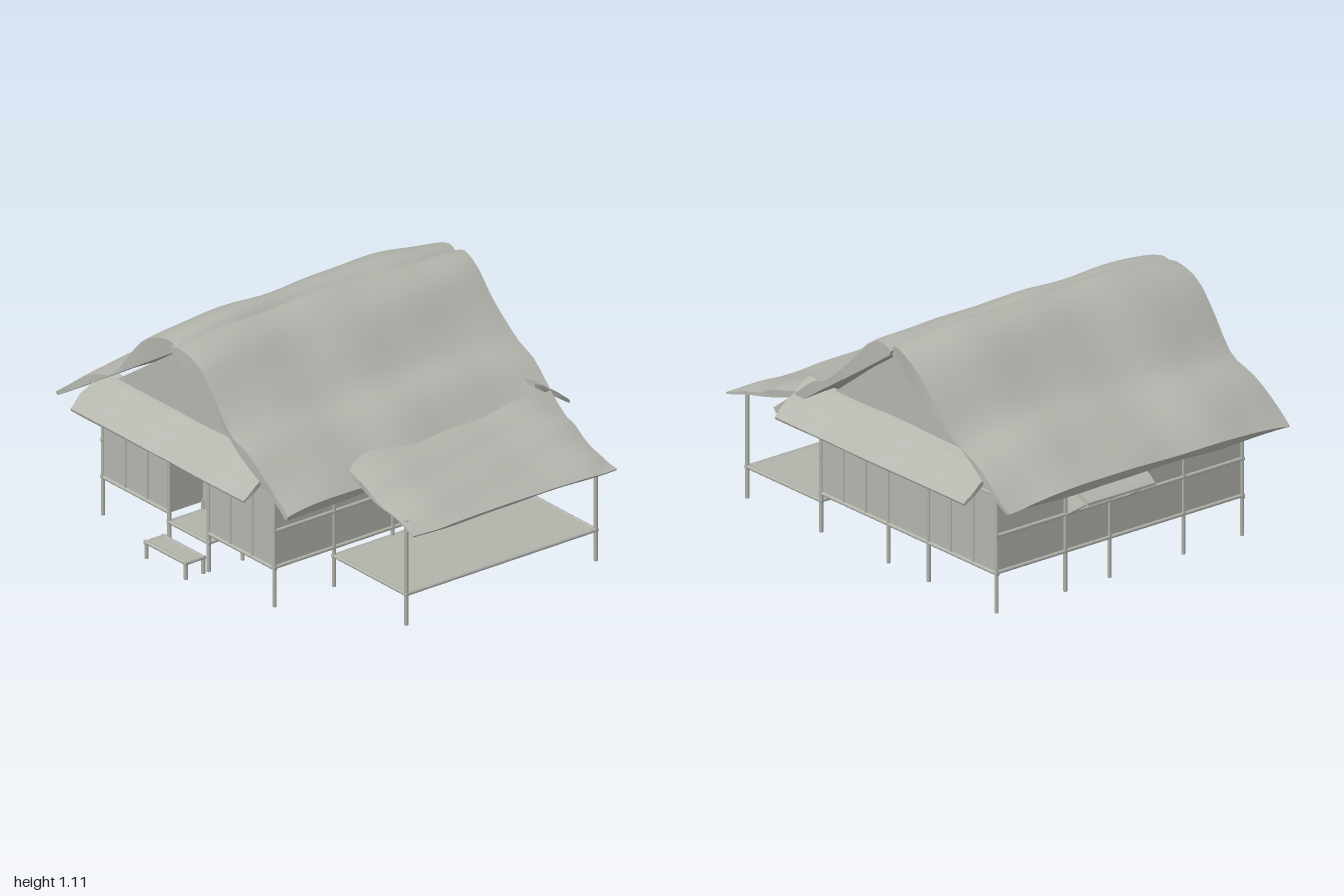
import * as THREE from 'three';
import { toCreasedNormals } from 'three/addons/utils/BufferGeometryUtils.js';

const thatchGrey = new THREE.MeshStandardMaterial({ color: 0xb2b4ac });
thatchGrey.name = 'thatchGrey';

function add(parent, name, geometry) {
  const mesh = new THREE.Mesh(geometry, thatchGrey);
  mesh.name = name;
  parent.add(mesh);
  return mesh;
}

// round pole between two points
function pole(parent, name, a, b, r = 0.009) {
  const from = new THREE.Vector3(...a), to = new THREE.Vector3(...b);
  const dir = to.clone().sub(from);
  const mesh = add(parent, name, new THREE.CylinderGeometry(r, r, dir.length(), 8));
  mesh.position.copy(from).addScaledVector(dir, 0.5);
  mesh.quaternion.setFromUnitVectors(new THREE.Vector3(0, 1, 0), dir.normalize());
}

function box(parent, name, x0, x1, y0, y1, z0, z1) {
  const mesh = add(parent, name, new THREE.BoxGeometry(x1 - x0, y1 - y0, z1 - z0));
  mesh.position.set((x0 + x1) / 2, (y0 + y1) / 2, (z0 + z1) / 2);
}

function panel(parent, name, points, hole, depth = 0.01) {
  const toV = (p) => new THREE.Vector2(...p);
  const shape = new THREE.Shape(points.map(toV));
  if (hole) shape.holes.push(new THREE.Path(hole.map(toV)));
  return add(parent, name, new THREE.ExtrudeGeometry(shape, { depth, bevelEnabled: false }));
}

const rect = (x0, x1, y0, y1) => [[x0, y0], [x1, y0], [x1, y1], [x0, y1]];

// Thatch slab running along x and sloping towards +z:
// top = smoothed [z, y] profile, under = straight line between two [z, y] points
function thatch(parent, name, x0, x1, top, under, { droop = 0, wave = 0.008, seed = 0, turn = 0 } = {}) {
  const NX = 28, NT = 18;
  const curve = new THREE.CatmullRomCurve3(top.map(([z, y]) => new THREE.Vector3(0, y, z)));
  const ring = 2 * (NT + 1), pos = [], idx = [];
  for (let i = 0; i <= NX; i++) {
    const s = i / NX, x = x0 + (x1 - x0) * s;
    const edge = Math.pow(Math.abs(2 * s - 1), 6);
    const ripple = Math.sin(x * 8 + seed) + 0.5 * Math.sin(x * 15 + seed * 2);
    const lower = [], upper = [];
    for (let j = 0; j <= NT; j++) {
      const t = j / NT, p = curve.getPoint(t);
      const bump = wave * (ripple * 0.7 + 0.6 * Math.sin(x * 5 + t * 17 + seed));
      const shift = wave * ripple * t * 0.9;
      const uz = THREE.MathUtils.lerp(under[0][0], under[1][0], t);
      const uy = THREE.MathUtils.lerp(under[0][1], under[1][1], t);
      const endX = x + wave * Math.sin(t * 11 + seed) * edge * Math.sign(s - 0.5);
      upper.push([endX, Math.max(p.y + bump - droop * edge, uy + 0.008), p.z + shift]);
      lower.push([endX, uy, uz + shift]);
    }
    pos.push(...upper.flat(), ...lower.reverse().flat());
  }
  for (let i = 0; i < NX; i++) for (let j = 0; j < ring; j++) {
    const a = i * ring + j, b = i * ring + (j + 1) % ring;
    idx.push(a, b, a + ring, b, b + ring, a + ring);
  }
  for (let j = 0; j < NT; j++) {
    const k = ring - 1 - j, e = NX * ring;
    idx.push(j, k, j + 1, j + 1, k, k - 1);
    idx.push(e + j, e + j + 1, e + k, e + j + 1, e + k - 1, e + k);
  }
  const g = new THREE.BufferGeometry();
  g.setAttribute('position', new THREE.Float32BufferAttribute(pos, 3));
  g.setIndex(idx);
  add(parent, name, toCreasedNormals(g, 0.6)).rotation.y = turn;
}

export function createModel() {
  const house = new THREE.Group();
  house.name = 'stiltHouse';
  const L = -0.685, R = 0.675, F = 0.39, B = -0.785; // wall planes
  const D0 = -0.33, D1 = -0.06, DX = -0.5; // entrance recess
  const postX = [L, -0.36, -0.04, 0.295, R];

  // raised floor with a notch for the entrance
  const floor = panel(house, 'floor', [[L, B], [R, B], [R, F], [L, F], [L, D1], [DX, D1], [DX, D0], [L, D0]]);
  floor.rotation.x = Math.PI / 2;
  floor.position.y = 0.187;

  // long walls with window openings
  panel(house, 'frontWall', rect(L, R, 0.18, 0.6), rect(-0.04, 0.295, 0.355, 0.53)).position.z = F - 0.01;
  panel(house, 'backWall', rect(L, R, 0.18, 0.6), rect(0.05, 0.295, 0.355, 0.53)).position.z = B;

  // gable walls, the right-hand one with the doorway
  const gableTop = [[F, 0.18], [F, 0.61], [-0.17, 1.03], [B, 0.61], [B, 0.18]];
  const plain = panel(house, 'gableWall', gableTop);
  const doorway = panel(house, 'doorGableWall', [...gableTop, [D0, 0.18], [D0, 0.54], [D1, 0.54], [D1, 0.18]]);
  plain.rotation.y = doorway.rotation.y = -Math.PI / 2;
  plain.position.x = R;
  doorway.position.x = L + 0.01;

  // entrance recess
  box(house, 'recessBackWall', DX, DX + 0.01, 0.13, 0.54, D0, D1);
  box(house, 'recessSideWall', L, DX, 0.18, 0.54, D1, D1 + 0.01);
  box(house, 'recessSideWall', L, DX, 0.18, 0.54, D0 - 0.01, D0);
  box(house, 'recessCeiling', L, DX, 0.54, 0.55, D0, D1);

  // posts and rails of the long walls
  for (const [z, xs] of [[F, postX], [B, [L, -0.36, 0.05, 0.295, R]]]) {
    for (const x of xs) pole(house, 'wallPost', [x, 0, z], [x, 0.58, z]);
    for (const y of [0.185, 0.355, 0.53]) pole(house, 'wallRail', [L - 0.01, y, z], [R + 0.01, y, z]);
  }
  // posts and rails of the gable walls
  for (const x of [L, R]) {
    for (const z of [D1, D0]) pole(house, 'gablePost', [x, 0, z], [x, 0.58, z]);
    for (const z of [0.24, 0.09, -0.48, -0.63]) pole(house, 'gableStud', [x, 0.18, z], [x, 0.58, z], 0.007);
    pole(house, 'gableRail', [x, 0.54, F], [x, 0.54, B], 0.007);
    if (x > 0) pole(house, 'gableRail', [x, 0.18, F + 0.01], [x, 0.18, B - 0.01]);
  }
  pole(house, 'gableRail', [L, 0.18, F + 0.01], [L, 0.18, D1]);
  pole(house, 'gableRail', [L, 0.18, D0], [L, 0.18, B - 0.01]);
  // short piles under the floor
  for (const x of [-0.36, -0.04, 0.295]) for (const z of [D0, D1]) pole(house, 'floorPile', [x, 0, z], [x, 0.18, z]);

  // framed platform: thin board with a pole along each side
  function deck(name, x0, x1, z0, z1, y) {
    const g = new THREE.Group();
    g.name = name;
    box(g, 'board', x0, x1, y - 0.005, y + 0.005, z0, z1);
    for (const z of [z0, z1]) pole(g, 'edgePole', [x0 - 0.01, y, z], [x1 + 0.01, y, z]);
    for (const x of [x0, x1]) pole(g, 'edgePole', [x, y, z0 - 0.01], [x, y, z1 + 0.01]);
    house.add(g);
  }
  // porch
  deck('porchDeck', -0.36, R, F, 0.885, 0.145);
  for (const x of [-0.36, R]) pole(house, 'porchPost', [x, 0, 0.885], [x, 0.495, 0.885]);
  // entrance steps
  deck('upperStep', L, DX, D0, D1, 0.135);
  deck('lowerStep', -0.81, -0.715, D0, D1, 0.075);
  for (const z of [D0, D1]) {
    pole(house, 'stepPost', [DX, 0, z], [DX, 0.19, z]);
    for (const x of [-0.81, -0.715]) pole(house, 'stepLeg', [x, 0, z], [x, 0.08, z]);
  }

  // main roof slopes
  thatch(house, 'frontRoof', -0.785, 0.76,
    [[-0.19, 1.07], [-0.13, 1.085], [-0.02, 1.04], [0.06, 0.965], [0.14, 0.88], [0.24, 0.79], [0.34, 0.755], [0.45, 0.67], [0.53, 0.6], [0.6, 0.55]],
    [[-0.18, 1.02], [0.585, 0.505]], { droop: 0.03, seed: 1.2 });
  thatch(house, 'backRoof', -0.76, 0.785,
    [[0.15, 1.06], [0.21, 1.1], [0.34, 1.06], [0.475, 0.93], [0.61, 0.79], [0.74, 0.735], [0.88, 0.65], [0.985, 0.57]],
    [[0.16, 1.03], [0.965, 0.53]], { droop: 0.03, seed: 4.2, turn: Math.PI });

  // porch roof
  thatch(house, 'porchRoof', -0.39, 0.7,
    [[0.45, 0.635], [0.55, 0.62], [0.65, 0.595], [0.75, 0.555], [0.88, 0.51], [0.985, 0.465]],
    [[0.45, 0.6], [0.98, 0.455]], { droop: 0.02, wave: 0.007, seed: 2.5 });

  // skirt roofs below the gables
  const skirt = [[0.665, 0.69], [0.71, 0.665], [0.76, 0.63], [0.81, 0.595], [0.86, 0.55]];
  const skirtUnder = [[0.665, 0.67], [0.855, 0.54]];
  thatch(house, 'leftSkirtRoof', -0.48, 0.79, skirt, skirtUnder, { wave: 0.003, turn: Math.PI / 2 });
  thatch(house, 'rightSkirtRoof', -0.79, 0.4, skirt, skirtUnder, { wave: 0.003, turn: -Math.PI / 2 });

  // window awnings with their struts
  function awning(name, x0, x1, wall, side) {
    const o = wall + 0.175;
    const span = side > 0 ? [x0, x1] : [-x1, -x0];
    thatch(house, name, ...span, [[wall, 0.545], [wall + 0.09, 0.51], [o, 0.465]],
      [[wall, 0.53], [o, 0.452]], { wave: 0.002, turn: side > 0 ? 0 : Math.PI });
    for (const x of [x0 + 0.02, x1 - 0.02]) {
      pole(house, 'awningStrut', [x, 0.35, side * wall], [x, 0.46, side * (o - 0.01)], 0.005);
    }
  }
  awning('frontAwning', -0.06, 0.315, F, 1);
  awning('backAwning', -0.06, 0.315, -B, -1);

  return house;
}
